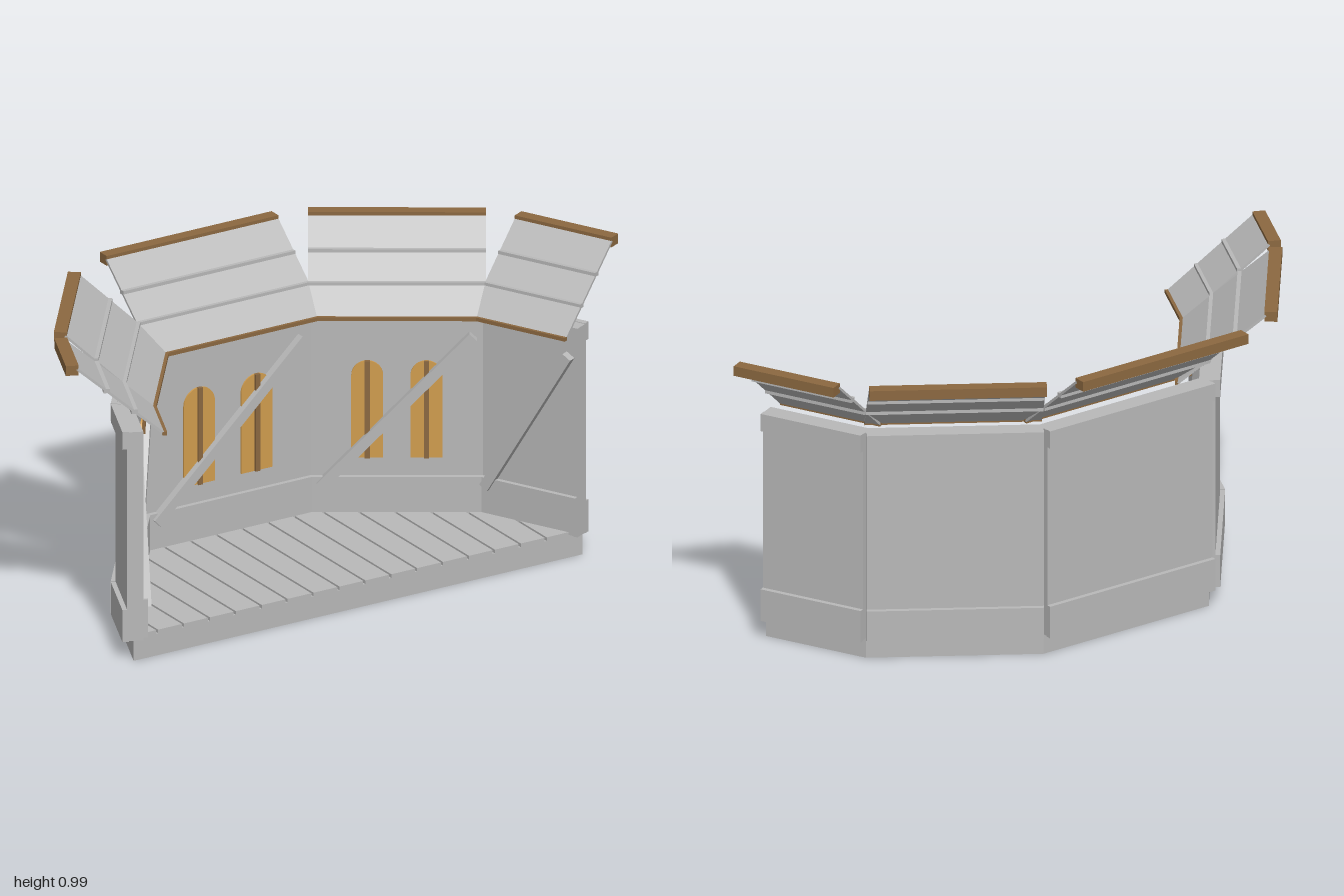
import * as THREE from 'three';

const mat = (name, color) => new THREE.MeshStandardMaterial({ name, color });

export function createModel() {
  const grey = mat('grey boards', 0xb8b8b8);
  const brown = mat('brown timber', 0x8b6840);
  const amber = mat('amber window', 0xd09c4e);
  const model = new THREE.Group();
  model.name = 'stage';

  // Footprint corners (x, z), running from the right end round the back to the left end
  const corners = [[-0.81, 0.38], [-0.72, 0.17], [-0.425, -0.22], [0.195, -0.22], [0.655, 0.07], [0.81, 0.38]];
  const front = 0.38;

  const add = (parent, name, geometry, material) => {
    const mesh = new THREE.Mesh(geometry, material);
    mesh.name = name;
    parent.add(mesh);
    return mesh;
  };
  // Box given by its limits
  const box = (parent, name, material, x0, x1, y0, y1, z0, z1) => {
    const mesh = add(parent, name, new THREE.BoxGeometry(x1 - x0, y1 - y0, z1 - z0), material);
    mesh.position.set((x0 + x1) / 2, (y0 + y1) / 2, (z0 + z1) / 2);
    return mesh;
  };
  // Flat slab from a plan outline
  const slab = (name, points, y0, y1) => {
    const shape = new THREE.Shape(points.map(([x, z]) => new THREE.Vector2(x, z)));
    const geometry = new THREE.ExtrudeGeometry(shape, { depth: y1 - y0, bevelEnabled: false });
    geometry.rotateX(Math.PI / 2).translate(0, y1, 0);
    add(model, name, geometry, grey);
  };

  // Platform and floor planks, cut to the footprint
  slab('platform', corners, 0, 0.072);
  const backZ = (x) => {
    const i = Math.max(1, corners.findIndex(([cx]) => cx >= x));
    const [ax, az] = corners[i - 1], [bx, bz] = corners[i];
    return az + (bz - az) * (x - ax) / (bx - ax);
  };
  const pitch = 0.0935, gap = 0.008;
  for (let i = 0; i < 18; i++) {
    const x0 = Math.max(-0.805, -0.815 + i * pitch);
    const x1 = Math.min(0.805, -0.815 + (i + 1) * pitch - gap);
    if (x1 - x0 < 0.01) continue;
    const between = corners.filter(([x]) => x > x0 + 0.001 && x < x1 - 0.001);
    slab('floorPlank', [[x0, backZ(x0)], ...between, [x1, backZ(x1)], [x1, front], [x0, front]], 0.07, 0.084);
  }

  // Arched window plate with a middle bar
  const addWindow = (bay, x, w) => {
    const r = w / 2, y0 = 0.26, y1 = 0.58 - r;
    const shape = new THREE.Shape();
    shape.moveTo(x - r, y0);
    shape.lineTo(x + r, y0);
    shape.lineTo(x + r, y1);
    shape.absarc(x, y1, r, 0, Math.PI, false);
    shape.closePath();
    const pane = new THREE.ExtrudeGeometry(shape, { depth: 0.006, bevelEnabled: false, curveSegments: 12 });
    pane.translate(0, 0, 0.029);
    add(bay, 'window', pane, amber);
    box(bay, 'windowBar', brown, x - 0.008, x + 0.008, y0, 0.58, 0.031, 0.043);
  };

  // Flared canopy line: local z against height
  const low = [0.095, 0.745], high = [-0.175, 0.975];
  const slope = Math.atan2(high[1] - low[1], low[0] - high[0]);
  const runLength = Math.hypot(high[1] - low[1], low[0] - high[0]);

  // One bay per wall: local x runs along the wall, local +z points indoors
  for (let i = 0; i < corners.length - 1; i++) {
    const [ax, az] = corners[i], [bx, bz] = corners[i + 1];
    const len = Math.hypot(bx - ax, bz - az), h = len / 2;
    const bay = new THREE.Group();
    bay.name = 'wallBay';
    bay.position.set((ax + bx) / 2, 0, (az + bz) / 2);
    bay.rotation.y = -Math.atan2(bz - az, bx - ax);
    model.add(bay);

    box(bay, 'wall', grey, -h, h, 0.066, 0.756, -0.02, 0.03);
    box(bay, 'topBand', grey, -h, h, 0.70, 0.758, -0.035, -0.015);
    box(bay, 'bottomBand', grey, -h, h, 0.064, 0.17, -0.035, -0.015);
    box(bay, 'skirting', grey, -h, h, 0.075, 0.2, 0.02, 0.045);

    // Diagonal brace, rising to the left
    const dx = len * 0.86, dy = 0.495;
    const brace = add(bay, 'brace', new THREE.BoxGeometry(Math.hypot(dx, dy), 0.032, 0.03), grey);
    brace.position.set(0, 0.4175, 0.041);
    brace.rotation.z = Math.atan2(dy, dx);

    if (i > 0 && i < 4) for (const s of [-1, 1]) addWindow(bay, s * len / 6, len * 0.18);

    // Canopy sheet, battens and edge timbers
    const sheet = add(bay, 'canopy', new THREE.BoxGeometry(len, 0.008, runLength), grey);
    sheet.position.set(0, (low[1] + high[1]) / 2, (low[0] + high[0]) / 2);
    sheet.rotation.x = slope;
    for (const [z, y] of [[0.003, 0.823], [-0.083, 0.897]]) {
      box(bay, 'canopyBatten', grey, -h, h, y - 0.007, y + 0.007, z - 0.01, z + 0.01);
    }
    box(bay, 'canopyLowerTrim', brown, -h, h, 0.739, 0.751, 0.09, 0.104);
    box(bay, 'canopyTopBeam', brown, -h, h, 0.955, 0.987, -0.21, -0.17);
  }
  return model;
}
